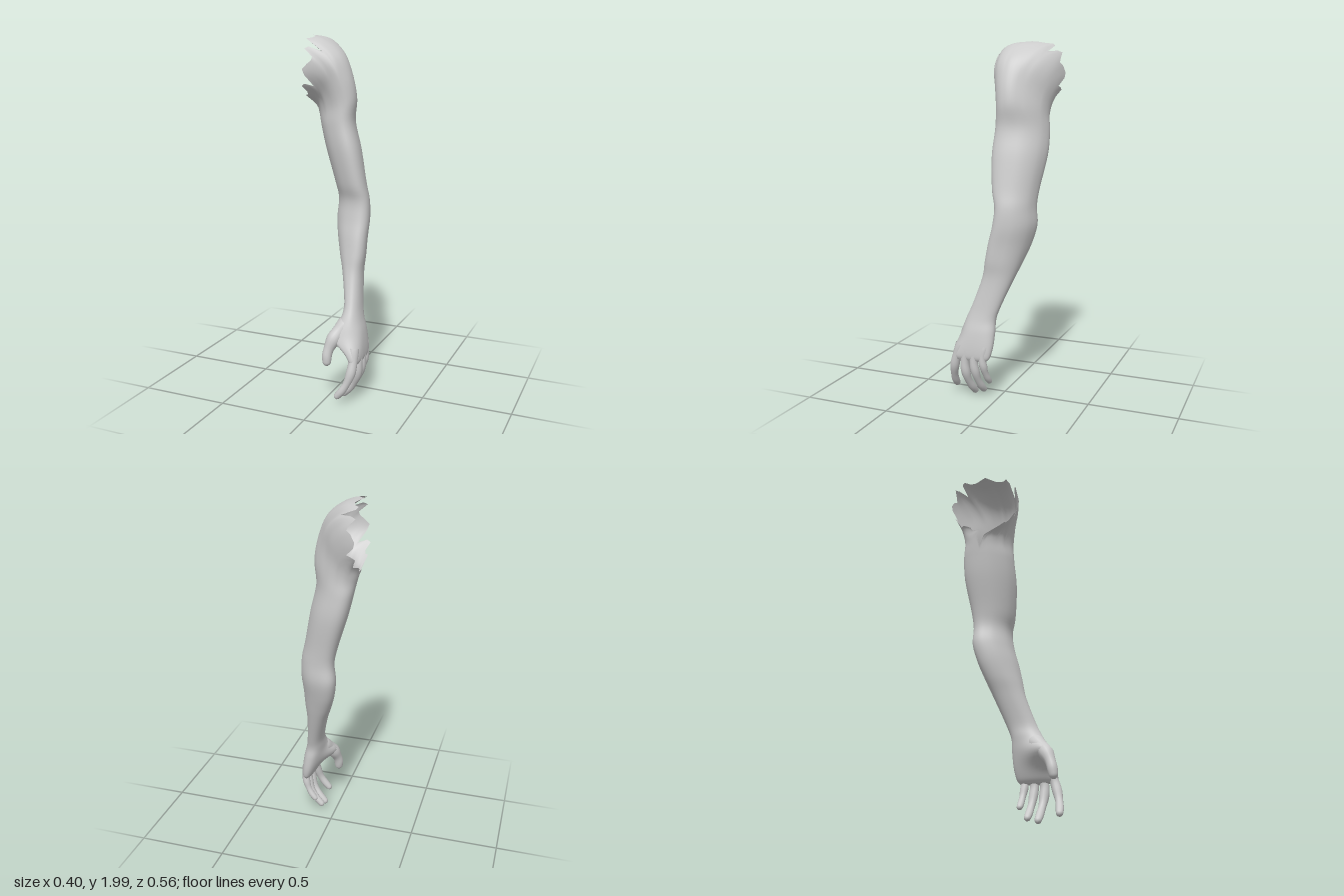
import * as THREE from 'three';

const skin = new THREE.MeshStandardMaterial({ color: 0xcccccc, side: THREE.DoubleSide });
const { smoothstep, lerp } = THREE.MathUtils;

// Cross-sections from knuckles to shoulder:
// inner x, y, outer x, y, back z, front z, roundness of the outer half (lower is squarer).
// Above the armpit the sections fan out until they face the torso.
const SECTIONS = [
  [0.15, 0.235, 0.19, 0.235, 0.045, 0.242, 0.75],
  [0.13, 0.26, 0.2, 0.26, 0.025, 0.25, 0.75],
  [0.105, 0.32, 0.198, 0.32, 0.012, 0.24, 0.8],
  [0.08, 0.4, 0.186, 0.4, 0.008, 0.215, 0.85],
  [0.066, 0.47, 0.168, 0.47, 0.008, 0.184, 0.9],
  [0.06, 0.55, 0.155, 0.55, -0.018, 0.147, 0.9],
  [0.018, 0.7, 0.142, 0.7, -0.08, 0.095, 0.9],
  [-0.02, 0.8, 0.15, 0.8, -0.122, 0.075, 0.9],
  [-0.05, 0.9, 0.153, 0.9, -0.16, 0.055, 0.9],
  [-0.064, 1.0, 0.157, 1.0, -0.185, 0.03, 0.9],
  [-0.056, 1.1, 0.151, 1.1, -0.182, 0.018, 0.9],
  [-0.076, 1.2, 0.132, 1.2, -0.192, 0.04, 0.9],
  [-0.132, 1.38, 0.1, 1.38, -0.22, 0.056, 0.9],
  [-0.162, 1.5, 0.066, 1.53, -0.22, 0.05, 0.95],
  [-0.178, 1.57, 0.076, 1.66, -0.212, 0.045, 1.05],
  [-0.186, 1.605, 0.052, 1.79, -0.218, 0.062, 1.1],
  [-0.191, 1.625, 0.0, 1.9, -0.235, 0.09, 1],
  [-0.195, 1.64, -0.1, 1.975, -0.26, 0.11, 0.8],
  [-0.2, 1.65, -0.2, 1.995, -0.278, 0.118, 0.65],
];

// Smooth interpolation through the sections
function sectionAt(t) {
  const n = SECTIONS.length - 1;
  const i = Math.min(Math.floor(t), n - 1), f = t - i;
  const [p, a, b, q] = [i - 1, i, i + 1, i + 2].map(k => SECTIONS[Math.max(0, Math.min(n, k))]);
  return a.map((v, k) => v + 0.5 * f * (b[k] - p[k]
    + f * (2 * p[k] - 5 * v + 4 * b[k] - q[k] + f * (3 * (v - b[k]) + q[k] - p[k]))));
}

function armGeometry() {
  const sides = 48, rows = 90, last = SECTIONS.length - 1;
  const pos = [], index = [];
  const soft = (v, e) => Math.sign(v) * Math.pow(Math.abs(v), e);
  for (let r = 0; r <= rows; r++) {
    for (let s = 0; s < sides; s++) {
      const a = (s / sides) * Math.PI * 2, cos = Math.cos(a);
      // Torn rim: each column stops at its own height, with a slit below the armpit
      const tooth = [0, 0.7, 1.4, 0.5][s % 4] * (0.7 + 0.3 * Math.sin(s * 2.3)) * (1 - 0.35 * cos)
        + 0.5 * Math.max(0, Math.sin(a));
      const slit = Math.max(0, 4.4 - 1.6 * Math.abs(s - 22));
      const full = (r / rows) * last;
      const t = full - Math.max(tooth, slit) * Math.max(0, (full - 13) / (last - 13));
      const [xi, yi, xo, yo, z0, z1, outer] = sectionAt(t);
      // Forearm and upper arm sections lean diagonally, outer side forward
      const lean = 0.48 * smoothstep(t, 4, 8) * (1 - smoothstep(t, 14.5, 18));
      const c = (1 + soft(cos, cos > 0 ? outer : 0.9)) / 2;
      const d = soft(Math.sin(a + lean), lerp(0.9, outer, (1 + cos) / 2));
      const y = yi + (yo - yi) * c;
      // Ball of the thumb swells from the front of the palm
      const thenar = 0.125 * Math.exp(-(((y - 0.378) / 0.065) ** 2)) * ((1 + d) / 2) ** 2 * (1 - c);
      pos.push(xi + (xo - xi) * c - thenar, y, (z0 + z1) / 2 + d * (z1 - z0) / 2);
    }
  }
  for (let r = 0; r < rows; r++) {
    for (let s = 0; s < sides; s++) {
      const a = r * sides + s, b = r * sides + (s + 1) % sides;
      index.push(a, a + sides, b, b, a + sides, b + sides);
    }
  }
  // Closed knuckle end
  const tip = pos.length / 3;
  pos.push(0.172, 0.228, 0.143);
  for (let s = 0; s < sides; s++) index.push(tip, s, (s + 1) % sides);
  const g = new THREE.BufferGeometry();
  g.setAttribute('position', new THREE.Float32BufferAttribute(pos, 3));
  g.setIndex(index);
  g.computeVertexNormals();
  return g;
}

// Tapered tube with joint swellings and a rounded tip
function digit(name, points, r0, r1) {
  const curve = new THREE.CatmullRomCurve3(points.map(p => new THREE.Vector3(...p)));
  const segs = 36, sides = 14;
  const g = new THREE.TubeGeometry(curve, segs, 1, sides);
  const p = g.attributes.position, v = new THREE.Vector3();
  const len = curve.getLength();
  for (let i = 0; i <= segs; i++) {
    // Rows crowd towards the tip so it rounds off
    const t = 1 - Math.pow(1 - i / segs, 1.5);
    const base = curve.getPointAt(i / segs), centre = curve.getPointAt(t);
    const swell = 1 + 0.07 * Math.cos((t - 0.45) * Math.PI * 5);
    const left = Math.min(1, (1 - t) * len / r1);
    const r = (r0 + (r1 - r0) * t) * swell * Math.sqrt(1 - (1 - left) ** 2);
    for (let s = 0; s <= sides; s++) {
      const k = i * (sides + 1) + s;
      v.fromBufferAttribute(p, k).sub(base).multiplyScalar(Math.max(r, 1e-4)).add(centre);
      p.setXYZ(k, v.x, v.y, v.z);
    }
  }
  g.computeVertexNormals();
  // Keep the lengthwise seam smooth
  const m = g.attributes.normal;
  for (let i = 0; i <= segs; i++) {
    const a = i * (sides + 1), b = a + sides;
    v.set(m.getX(a) + m.getX(b), m.getY(a) + m.getY(b), m.getZ(a) + m.getZ(b)).normalize();
    m.setXYZ(a, v.x, v.y, v.z);
    m.setXYZ(b, v.x, v.y, v.z);
  }
  const mesh = new THREE.Mesh(g, skin);
  mesh.name = name;
  return mesh;
}

export function createModel() {
  const group = new THREE.Group();
  group.name = 'arm';
  const limb = new THREE.Mesh(armGeometry(), skin);
  limb.name = 'shoulderToPalm';
  group.add(limb);

  // Fingers curl inwards from the knuckles
  group.add(
    digit('indexFinger', [[0.16, 0.32, 0.2], [0.167, 0.235, 0.23], [0.152, 0.155, 0.25],
      [0.12, 0.092, 0.26], [0.078, 0.04, 0.264]], 0.031, 0.018),
    digit('middleFinger', [[0.165, 0.32, 0.153], [0.176, 0.225, 0.173], [0.165, 0.14, 0.168],
      [0.125, 0.067, 0.157], [0.07, 0.008, 0.15]], 0.031, 0.018),
    digit('ringFinger', [[0.165, 0.32, 0.108], [0.178, 0.23, 0.118], [0.165, 0.15, 0.11],
      [0.128, 0.08, 0.1], [0.076, 0.025, 0.093]], 0.029, 0.017),
    digit('littleFinger', [[0.165, 0.32, 0.055], [0.177, 0.25, 0.066], [0.168, 0.19, 0.06],
      [0.142, 0.135, 0.053], [0.105, 0.09, 0.048]], 0.026, 0.015),
    digit('thumb', [[0.1, 0.435, 0.14], [0.068, 0.4, 0.18], [0.038, 0.345, 0.218],
      [0.021, 0.28, 0.241], [0.021, 0.215, 0.25]], 0.05, 0.021),
  );
  return group;
}
